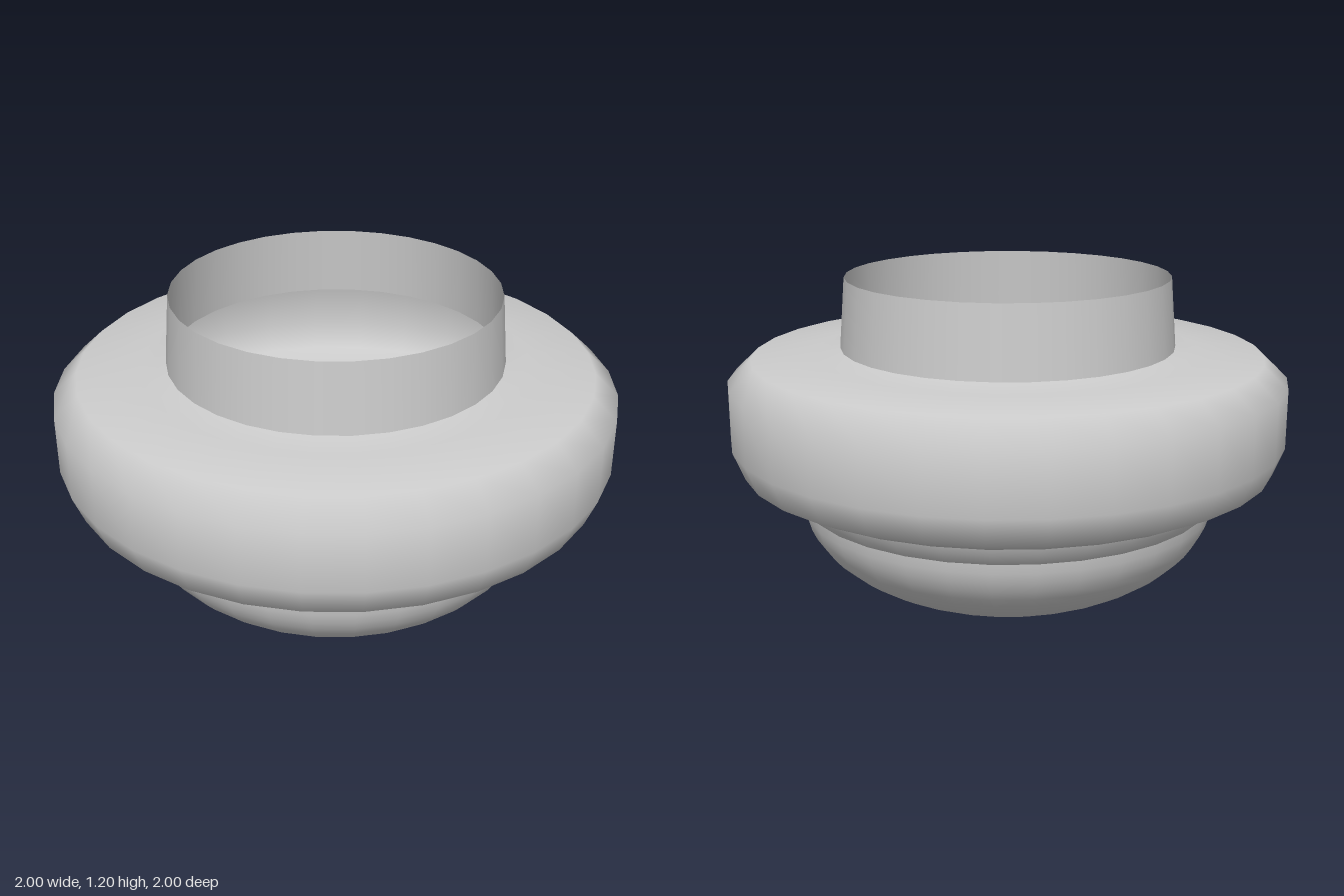
import * as THREE from 'three';

const SEGMENTS = 32;

export function createModel() {
  const group = new THREE.Group();
  const material = new THREE.MeshStandardMaterial({ color: 0xcccccc, side: THREE.DoubleSide });

  // Revolve a [radius, height] profile, listed from bottom to top
  const addRing = (name, profile) => {
    const points = profile.map(([r, y]) => new THREE.Vector2(r, y));
    const mesh = new THREE.Mesh(new THREE.LatheGeometry(points, SEGMENTS), material);
    mesh.name = name;
    group.add(mesh);
  };

  // Shallow bowl, open at the top
  const bowl = [];
  const steps = 16;
  for (let i = 0; i <= steps; i++) {
    const a = (i / steps) * Math.PI / 2;
    bowl.push([0.75 * Math.sin(a), 0.395 * (1 - Math.cos(a))]);
  }
  addRing('bowl', bowl);

  // Stepped collar between bowl and body
  addRing('collar', [[0.75, 0.39], [0.8, 0.44], [0.81, 0.495]]);

  // Wide rounded body
  addRing('body', [
    [0.81, 0.495], [0.89, 0.495], [0.96, 0.53], [1, 0.63],
    [1, 0.84], [0.915, 0.92], [0.69, 0.93], [0.6, 0.95],
  ]);

  // Thin tapered neck, open at the top
  addRing('neck', [[0.6, 0.95], [0.58, 1.2]]);

  return group;
}
